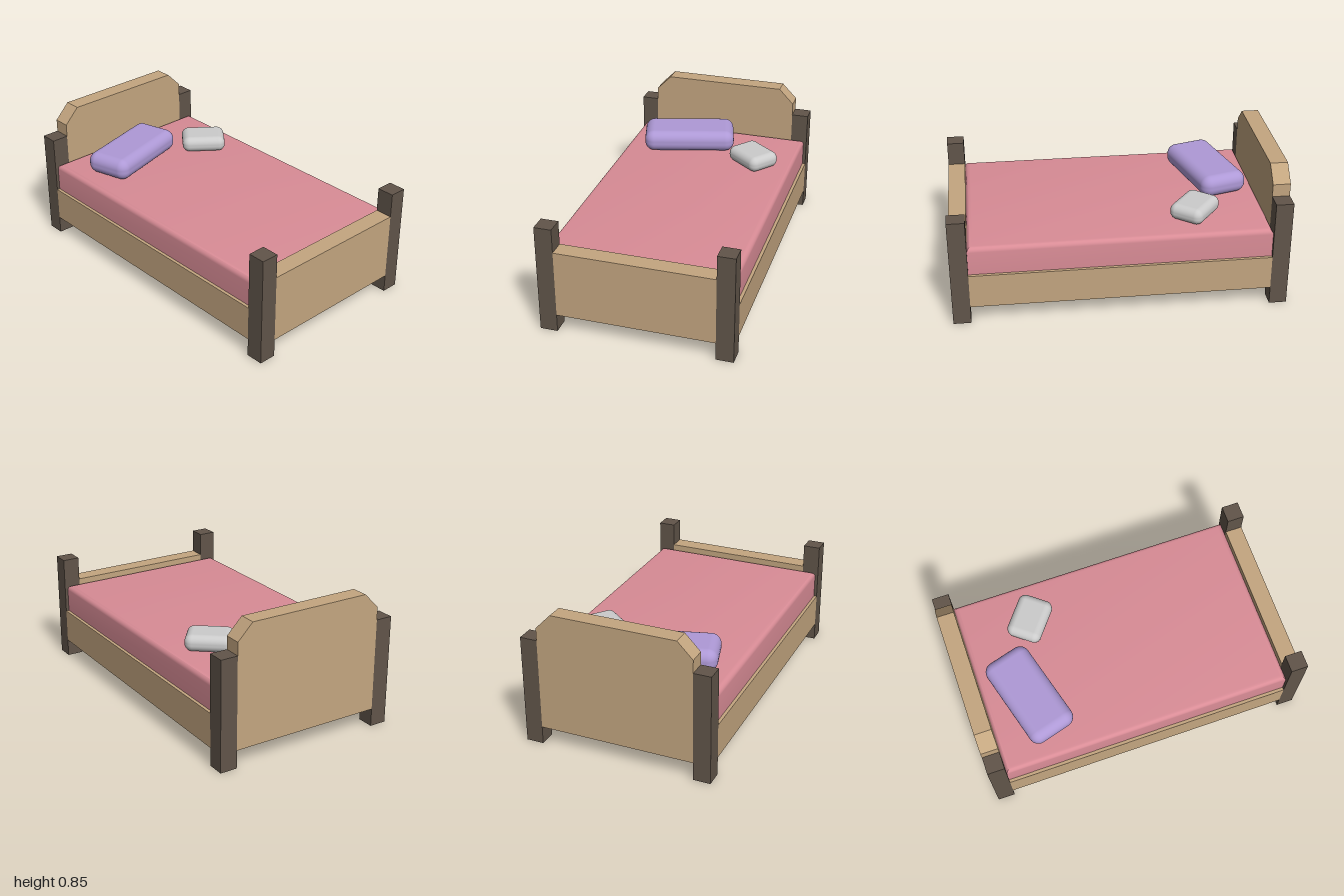
import * as THREE from 'three';
import { RoundedBoxGeometry } from 'three/addons/geometries/RoundedBoxGeometry.js';
import { toCreasedNormals } from 'three/addons/utils/BufferGeometryUtils.js';

const material = (color) => new THREE.MeshStandardMaterial({ color });

export function createModel() {
  const bed = new THREE.Group();
  bed.name = 'bed';
  const wood = material(0xc4a680);
  const darkWood = material(0x61554a);

  const add = (name, geometry, mat, x, y, z, turn = 0) => {
    const mesh = new THREE.Mesh(geometry, mat);
    mesh.name = name;
    mesh.position.set(x, y, z);
    mesh.rotation.y = turn;
    bed.add(mesh);
    return mesh;
  };

  const halfX = 1, halfZ = 0.578, post = 0.105;
  const innerX = halfX - post, innerZ = halfZ - post;
  const base = 0.11, railTop = 0.32;

  // Four corner posts
  for (const sx of [-1, 1]) for (const sz of [-1, 1]) {
    add('cornerPost', new THREE.BoxGeometry(post, 0.672, post), darkWood,
      sx * (halfX - post / 2), 0.336, sz * (halfZ - post / 2));
  }

  // Solid frame between the posts
  add('bedFrame', new THREE.BoxGeometry(innerX * 2, railTop - base, halfZ * 2), wood,
    0, (railTop + base) / 2, 0);

  // Low footboard
  const footTop = 0.525;
  add('footboard', new THREE.BoxGeometry(post, footTop - base, innerZ * 2), wood,
    halfX - post / 2, (footTop + base) / 2, 0);

  // Headboard with clipped upper corners
  const outline = new THREE.Shape([
    [-innerZ, base], [innerZ, base], [innerZ, 0.75], [0.38, 0.845], [-0.38, 0.845], [-innerZ, 0.75],
  ].map(([z, y]) => new THREE.Vector2(z, y)));
  const headGeometry = new THREE.ExtrudeGeometry(outline, { depth: post, bevelEnabled: false });
  add('headboard', headGeometry, wood, -halfX, 0, 0, Math.PI / 2);

  // Mattress: square in plan, with a rounded upper edge
  const length = innerX * 2, height = 0.177, width = 1.118, round = 0.032, steps = 6;
  const mattress = new THREE.BoxGeometry(length, height, width, 1, steps + 1, 1);
  const p = mattress.attributes.position;
  for (let i = 0; i < p.count; i++) {
    const row = Math.round((p.getY(i) / height + 0.5) * (steps + 1));
    if (row === 0) continue;
    const a = ((row - 1) / steps) * Math.PI / 2;
    const inset = round * (1 - Math.cos(a));
    p.setXYZ(i,
      Math.sign(p.getX(i)) * (length / 2 - inset),
      height / 2 - round + round * Math.sin(a),
      Math.sign(p.getZ(i)) * (width / 2 - inset));
  }
  add('mattress', toCreasedNormals(mattress, 0.6), material(0xd98c96), 0, railTop + height / 2, 0);

  // Two pillows, turned at different angles
  add('largePillow', new RoundedBoxGeometry(0.296, 0.137, 0.585, 6, 0.06), material(0xae99d6),
    -0.622, 0.566, 0.162, 0.274);
  add('smallPillow', new RoundedBoxGeometry(0.216, 0.1, 0.276, 6, 0.045), material(0xcccccc),
    -0.468, 0.545, -0.312, -0.67);

  return bed;
}
